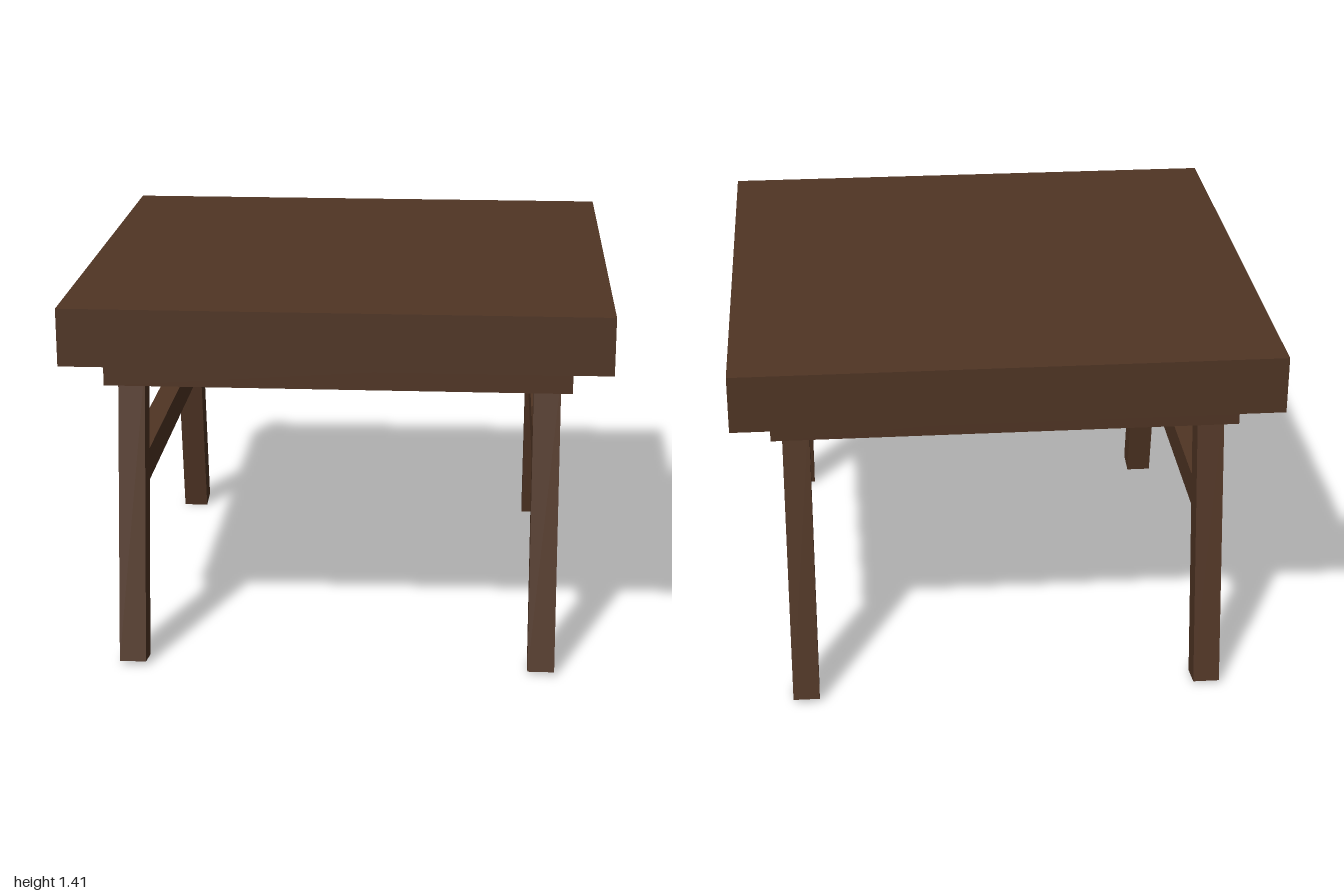
import * as THREE from 'three';

export function createModel() {
  const model = new THREE.Group();
  model.name = 'table';
  const wood = new THREE.MeshStandardMaterial({ color: 0x503524 });
  wood.name = 'dark brown wood';

  const box = (name, w, h, d, x, y, z) => {
    const mesh = new THREE.Mesh(new THREE.BoxGeometry(w, h, d), wood);
    mesh.name = name;
    mesh.position.set(x, y, z);
    model.add(mesh);
    return mesh;
  };

  // Thick square top with a smaller slab beneath it
  box('tableTop', 2, 0.215, 2, 0, 1.298, 0);
  box('underSlab', 1.72, 0.12, 1.72, 0, 1.14, 0);

  // Legs splay along z; their tops are sunk into the slab
  const tilt = 0.16, legLength = 1.13, legDepth = 0.107;
  const footY = 0.009, footZ = 0.897;
  for (const [sx, side] of [[1, 'left'], [-1, 'right']]) {
    for (const [sz, end] of [[1, 'Front'], [-1, 'Back']]) {
      const leg = box(`${side}${end}Leg`, 0.1, legLength, legDepth,
        sx * 0.77,
        footY + Math.cos(tilt) * legLength / 2,
        sz * (footZ - Math.sin(tilt) * legLength / 2));
      leg.rotation.x = -sz * tilt;
    }
    // Rail joining the front and back leg
    box(`${side}Stretcher`, 0.08, 0.12, 1.5, sx * 0.77, 0.712, 0);
  }
  return model;
}
